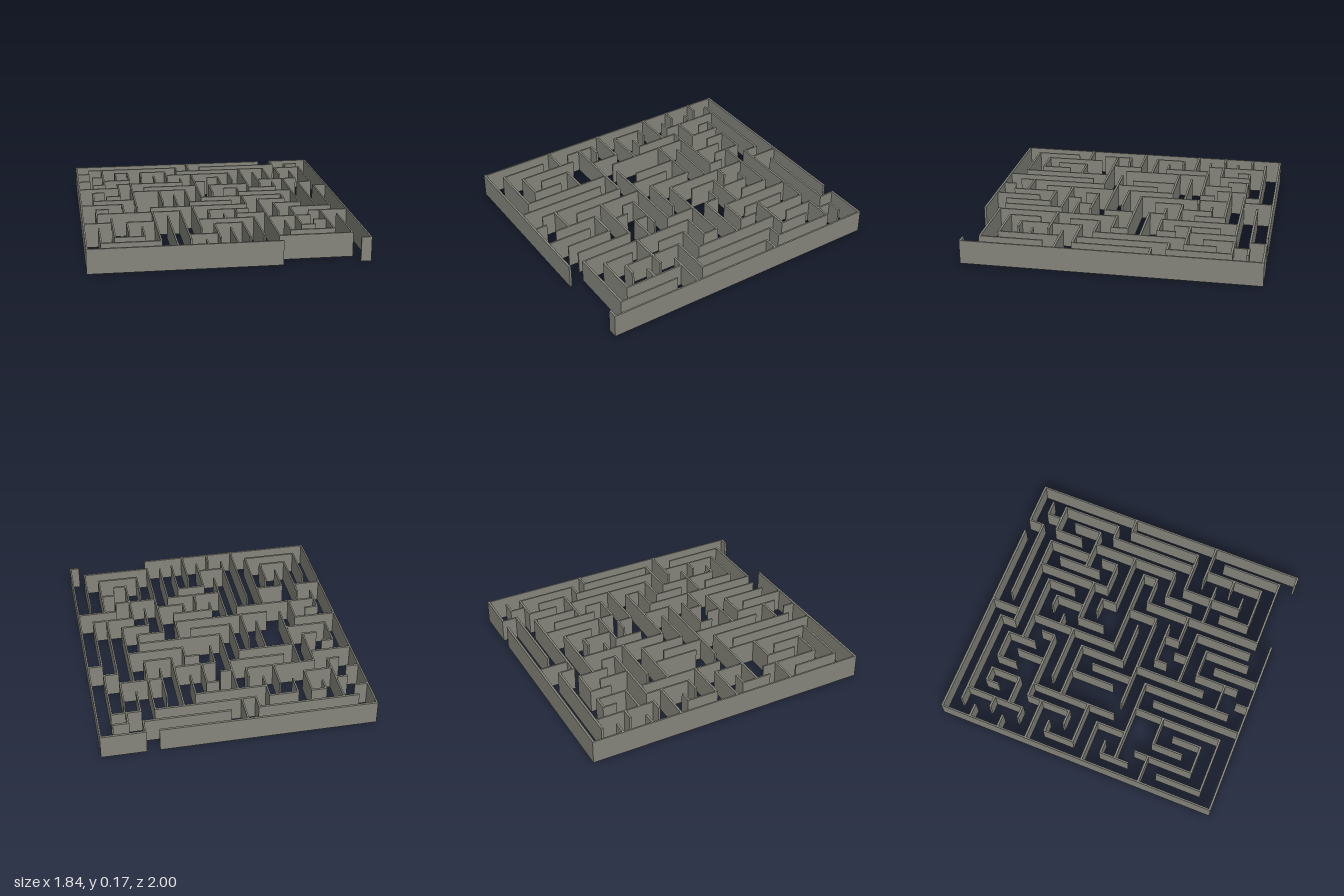
import * as THREE from 'three';
import { mergeGeometries } from 'three/addons/utils/BufferGeometryUtils.js';

// The maze lies on a lattice of 20 x 20 lines; walls are paths of [column, row] pairs.
const HEIGHT = 0.165, THICK_X = 0.011, THICK_Z = 0.015;
const gridX = (i) => -0.913 + (i * 1.826) / 19;
const gridZ = (j) => -0.992 + (j * 1.984) / 19;

const PATHS = {
  // outer boundary with an opening at the back and one at the front
  outerWall: [
    [15, 0, 0, 0, 0, 19, 13, 19],
    [10, 1, 16, 1, 16, 0, 19, 0, 19, 19, 18.4, 19],
  ],
  backLeftColumns: [
    [0, 2, 0.9, 2], [0, 4, 0.9, 4],
    [0, 6, 3, 6], [8, 4.1, 8, 5, 3, 5, 3, 8, 2, 8],
    [6, 3.1, 6, 5], [4, 5, 4, 10.8],
    [1, 1, 8, 1, 8, 2, 15, 2], [9, 0, 9, 2],
    [2, 1, 2, 5, 1.2, 5], [1.2, 3, 2, 3],
    [2, 4, 4, 4, 4, 2, 3, 2, 3, 2.8],
    [5, 3.3, 5, 2, 7, 2, 7, 3.9], [7, 3, 12, 3, 12, 4.9],
    [5, 6, 9, 6],
    [1.8, 7, 1, 7, 1, 9, 4, 9],
    [4, 7, 8, 7, 8, 10, 11, 10], [6, 7, 6, 10],
  ],
  backRightColumns: [
    [9, 3, 9, 9, 15, 9, 15, 10, 13, 10], [9, 5, 9.8, 5],
    [10.2, 4, 11, 4, 11, 6], [13, 6, 10, 6, 10, 7.8],
    [13, 2, 13, 7, 15, 7, 15, 5.9],
    [11, 7, 12, 7, 12, 8, 16, 8],
    [16, 5, 16, 11, 14, 11, 14, 12.9],
    [15, 2, 15, 5], [14, 3.1, 14, 6], [14, 5, 17, 5, 17, 3.1],
    [16, 3.9, 16, 2, 18, 2, 18, 6, 17, 6, 17, 12],
    [17, 2, 17, 1, 18, 1],
    [19, 7, 18, 7, 18, 12, 15, 12, 15, 16, 15.9, 16],
  ],
  frontLeftColumns: [
    [0, 10, 3, 10, 3, 12], [1.9, 11, 1, 11, 1, 12.9],
    [1, 12, 7, 12, 7, 17.9], [5, 12, 5, 18, 1, 18, 1, 15],
    [6, 13, 6, 19], [0, 14, 2, 14],
    [2, 13.1, 2, 17, 4, 17, 4, 15.1],
    [3, 16, 3, 14, 5, 14],
    [5, 11, 12, 11, 12, 9], [7, 8.2, 7, 11], [8, 11, 8, 15.8],
    [7, 17, 9, 17], [8, 18.2, 8, 19],
  ],
  frontRightColumns: [
    [13, 10, 13, 18, 18, 18, 18, 14], [13, 14, 16, 14],
    [13, 13, 11, 13, 11, 12], [11.9, 12, 9, 12, 9, 12.8],
    [16.2, 13, 19, 13], [17, 13, 17, 17, 14, 17, 14, 15],
    [16.1, 15, 17, 15],
    [9, 17.9, 9, 15, 11, 15, 11, 18],
    [8, 14, 12, 14, 12, 17.8], [10, 13.1, 10, 14], [10, 16, 10, 19],
  ],
};

// One straight upright wall between two lattice points, lapped at the corners
function wallSegment(i0, j0, i1, j1) {
  const x0 = gridX(i0), x1 = gridX(i1), z0 = gridZ(j0), z1 = gridZ(j1);
  const geometry = new THREE.BoxGeometry(Math.abs(x1 - x0) + THICK_X, HEIGHT, Math.abs(z1 - z0) + THICK_Z);
  return geometry.translate((x0 + x1) / 2, HEIGHT / 2, (z0 + z1) / 2);
}

export function createModel() {
  const maze = new THREE.Group();
  maze.name = 'maze';
  const material = new THREE.MeshStandardMaterial({ color: 0x85857c });
  for (const [name, paths] of Object.entries(PATHS)) {
    const segments = [];
    for (const p of paths) {
      for (let k = 0; k + 3 < p.length; k += 2) segments.push(wallSegment(p[k], p[k + 1], p[k + 2], p[k + 3]));
    }
    const walls = new THREE.Mesh(mergeGeometries(segments), material);
    walls.name = name;
    maze.add(walls);
  }
  return maze;
}
